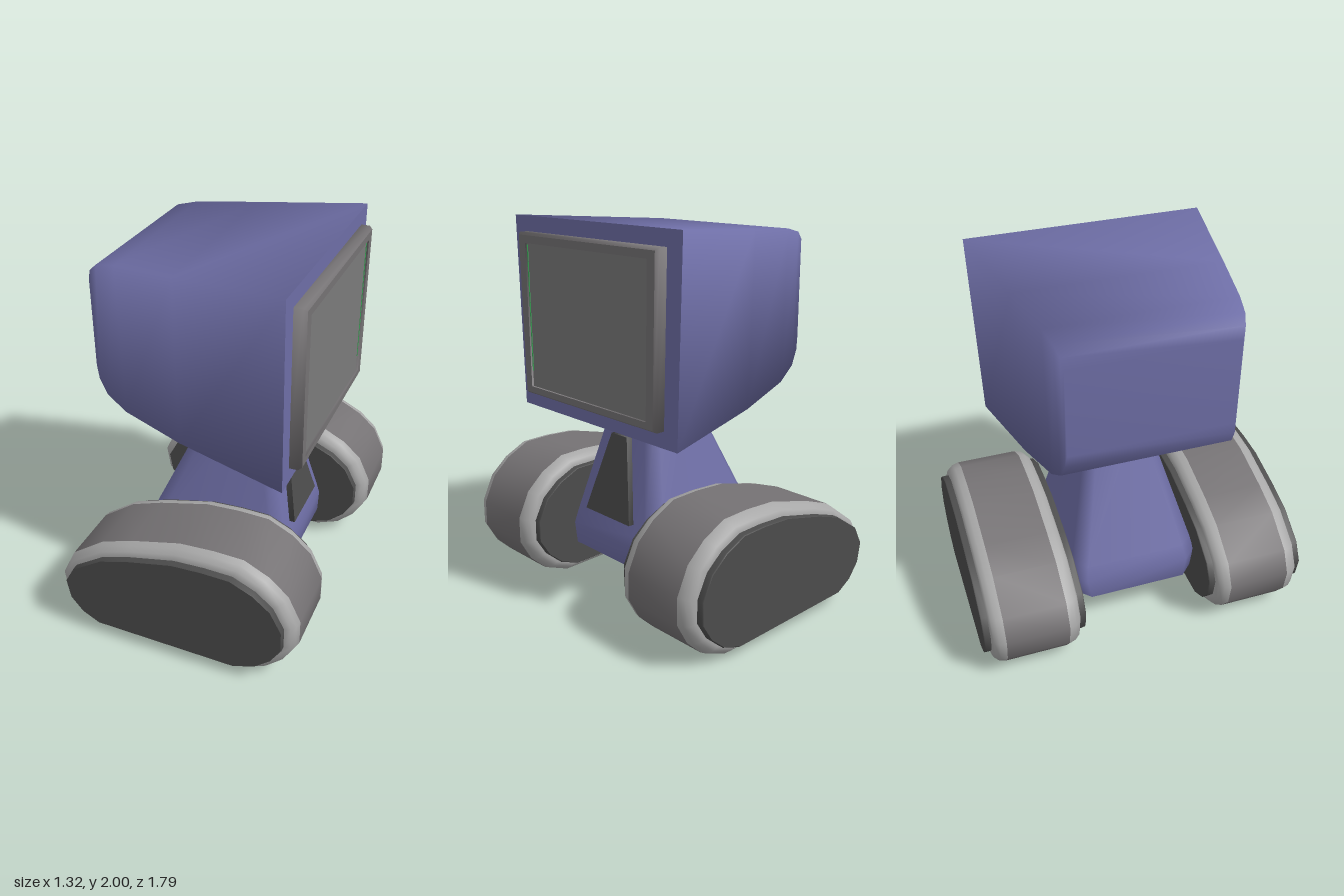
import * as THREE from 'three';

const mat = (name, color) => {
  const m = new THREE.MeshStandardMaterial({ color });
  m.name = name;
  return m;
};

// Skins a list of rings (arrays of [x, y, z]) with smooth normals.
// Repeating a ring makes a crease; caps close the ends; faces always point outwards.
function loft(name, material, rings, capStart = false, capEnd = false) {
  const n = rings[0].length;
  const points = rings.flat().map((p) => new THREE.Vector3(...p));
  const centre = points.reduce((s, p) => s.add(p), new THREE.Vector3()).divideScalar(points.length);
  const index = [];
  for (let r = 0; r < rings.length - 1; r++) {
    for (let i = 0; i < n; i++) {
      const a = r * n + i, b = r * n + (i + 1) % n;
      index.push(a, b, b + n, a, b + n, a + n);
    }
  }
  const cap = (start, flip) => {
    const mid = new THREE.Vector3();
    for (let i = 0; i < n; i++) mid.addScaledVector(points[start + i], 1 / n);
    const c = points.push(mid) - 1;
    for (let i = 0; i < n; i++) {
      const a = start + i, b = start + (i + 1) % n;
      if (flip) index.push(c, b, a);
      else index.push(c, a, b);
    }
  };
  if (capStart) cap(0, true);
  if (capEnd) cap((rings.length - 1) * n, false);
  // Turn the faces round if the enclosed volume is negative
  let volume = 0;
  for (let i = 0; i < index.length; i += 3) {
    const [a, b, c] = [0, 1, 2].map((k) => points[index[i + k]].clone().sub(centre));
    volume += a.dot(b.cross(c));
  }
  if (volume < 0) index.reverse();
  const g = new THREE.BufferGeometry().setFromPoints(points);
  g.setIndex(index);
  g.computeVertexNormals();
  const mesh = new THREE.Mesh(g, material);
  mesh.name = name;
  return mesh;
}

export function createModel() {
  const blue = mat('blue shell', 0x6e6ea6);
  const grey = mat('tread grey', 0x757274);
  const light = mat('light rim', 0xa8a8a8);
  const dark = mat('dark panel', 0x4c4c4c);
  const glass = mat('screen grey', 0x7a7a7a);
  const green = mat('green edge', 0x3fae5c);
  const model = new THREE.Group();
  model.name = 'screenRobot';

  // Upright rectangle at x, with its own half widths at top and bottom
  const rect = (x, top, bottom, halfTop, halfBottom) => [
    [x, top, halfTop], [x, top, -halfTop], [x, bottom, -halfBottom], [x, bottom, halfBottom],
  ];

  // Head: a tapering box with a rounded back and a flat front
  const front = rect(0.475, 2, 0.985, 0.63, 0.6);
  const head = [
    rect(-0.59, 1.82, 1.36, 0.42, 0.42),
    rect(-0.575, 1.88, 1.29, 0.432, 0.428),
    rect(-0.53, 1.92, 1.21, 0.447, 0.438),
    rect(-0.42, 1.944, 1.14, 0.47, 0.455),
    rect(-0.1, 1.964, 1.065, 0.53, 0.51),
    front, front,
  ];
  model.add(loft('head', blue, head, true, true));

  // Screen surround, stepping in to the recessed screen
  const frame = (x, d) => rect(x, 1.92 - d, 1.07 + d, 0.53 - d, 0.51 - d);
  const inner = (x) => rect(x, 1.868, 1.115, 0.465, 0.452);
  const surround = [
    frame(0.47, 0), frame(0.52, 0), frame(0.537, 0.012), frame(0.537, 0.012),
    inner(0.537), inner(0.537), inner(0.515),
  ];
  model.add(loft('screenSurround', grey, surround));
  model.add(loft('screen', glass, [inner(0.5), inner(0.525), inner(0.525)], false, true));
  for (const s of [1, -1]) {
    const strip = (x) => [
      [x, 1.86, s * 0.464], [x, 1.86, s * 0.457], [x, 1.2, s * 0.447], [x, 1.2, s * 0.453],
    ];
    model.add(loft('screenEdge', green, [strip(0.522), strip(0.528), strip(0.528)], false, true));
  }

  // Neck: chamfered rectangles widening downwards
  const slab = (y, back, fore, half, c) => [
    [fore, y, half - c], [fore, y, c - half], [fore - c, y, -half], [back + c, y, -half],
    [back, y, c - half], [back, y, half - c], [back + c, y, half], [fore - c, y, half],
  ];
  const foot = slab(0.22, -0.4, 0.37, 0.3, 0.06);
  model.add(loft('neck', blue, [
    foot, slab(0.24, -0.43, 0.405, 0.335, 0.07), slab(0.35, -0.42, 0.405, 0.355, 0.07),
    slab(0.42, -0.385, 0.39, 0.342, 0.07), slab(1.12, -0.07, 0.235, 0.155, 0.05),
  ]));
  model.add(loft('neckBase', dark, [slab(0.23, -0.4, 0.37, 0.3, 0.06), foot, foot], false, true));

  // Dark plate on the front of the neck
  const plate = (d) => [
    [0.285 + d, 0.9, 0.06], [0.285 + d, 0.9, -0.06],
    [0.375 + d, 0.47, -0.175], [0.375 + d, 0.47, 0.175],
  ];
  model.add(loft('neckPlate', dark,
    [plate(-0.03), plate(-0.03), plate(0.034), plate(0.034)], true, true));

  // Track outline, drawn in by k and placed at depth z
  const outline = [
    [-0.66, 0.3], [-0.6, 0.42], [-0.42, 0.55], [-0.25, 0.61], [0.02, 0.68], [0.2, 0.69],
    [0.36, 0.685], [0.49, 0.62], [0.59, 0.53], [0.655, 0.39], [0.655, 0.25], [0.59, 0.135],
    [0.5, 0.05], [0.375, 0], [-0.47, 0.015], [-0.57, 0.075], [-0.64, 0.17],
  ];
  const ring = (z, k) => outline.map(([x, y]) =>
    [x * (1 - k / 0.65), 0.35 + (y - 0.35) * (1 - k / 0.345), z]);

  for (const s of [1, -1]) {
    const track = new THREE.Group();
    track.name = s > 0 ? 'frontTrack' : 'rearTrack';
    track.add(loft('tread', grey, [ring(s * 0.455, 0), ring(s * 0.79, 0)]));
    // Light rims and dark covers on the outer and inner sides
    for (const [name, from, dir] of [['outer', 0.79, 1], ['inner', 0.455, -1]]) {
      const at = (d, k) => ring(s * (from + dir * d), k);
      track.add(loft(name + 'Rim', light,
        [at(0, 0), at(0.035, 0.008), at(0.06, 0.028), at(0.07, 0.05), at(0.07, 0.075)],
        false, true));
      const face = at(0.105, 0.062);
      track.add(loft(name + 'Cover', dark, [at(0.06, 0.058), at(0.1, 0.058), face, face], false, true));
    }
    model.add(track);
  }
  return model;
}
